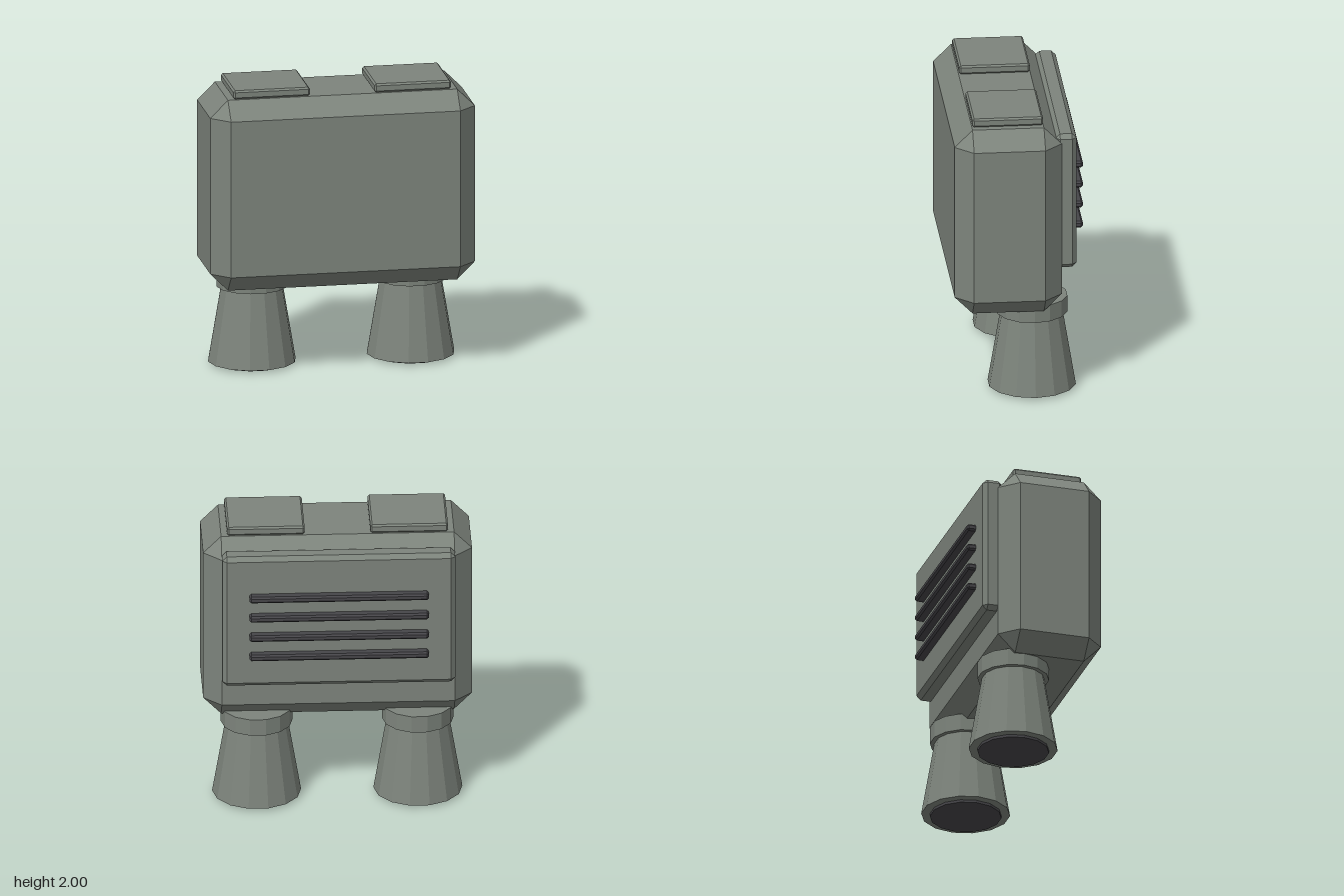
import * as THREE from 'three';
import { ConvexGeometry } from 'three/addons/geometries/ConvexGeometry.js';

// Box with flat chamfered edges and triangular corners
function chamferBox(w, h, d, c) {
  const half = [w / 2, h / 2, d / 2];
  const points = [];
  for (const sx of [-1, 1]) for (const sy of [-1, 1]) for (const sz of [-1, 1]) {
    for (let axis = 0; axis < 3; axis++) {
      const p = half.map((v, i) => (i === axis ? v : v - c));
      points.push(new THREE.Vector3(sx * p[0], sy * p[1], sz * p[2]));
    }
  }
  return new ConvexGeometry(points);
}

export function createModel() {
  const model = new THREE.Group();
  model.name = 'twinNozzlePack';

  const casing = new THREE.MeshStandardMaterial({ name: 'greyGreenCasing', color: 0x7d847c, flatShading: true });
  const dark = new THREE.MeshStandardMaterial({ name: 'darkGrey', color: 0x464549, flatShading: true });

  function add(parent, name, geometry, material, x, y, z) {
    const mesh = new THREE.Mesh(geometry, material);
    mesh.name = name;
    mesh.position.set(x, y, z);
    parent.add(mesh);
  }

  // Main casing and the raised panel on its back
  add(model, 'body', chamferBox(1.8, 1.32, 0.72, 0.12), casing, 0, 1.28, 0.08);
  add(model, 'backPanel', chamferBox(1.56, 0.96, 0.14, 0.03), casing, 0, 1.4, -0.31);

  // Vent bars across the back panel
  for (let i = 0; i < 4; i++) {
    add(model, 'ventBar', chamferBox(1.2, 0.046, 0.1, 0.012), dark, 0, 1.159 + i * 0.144, -0.389);
  }

  // Fourteen-sided ring, cone or disc with corners on the x axis
  const round = (top, bottom, height) => new THREE.CylinderGeometry(top, bottom, height, 14, 1, false, Math.PI / 2);

  for (const side of [-1, 1]) {
    // Square lid pad on top
    add(model, side > 0 ? 'leftPad' : 'rightPad', chamferBox(0.52, 0.06, 0.475, 0.012), casing, side * 0.48, 1.97, 0.079);

    // Flared nozzle with collar and dark opening
    const nozzle = new THREE.Group();
    nozzle.name = side > 0 ? 'leftNozzle' : 'rightNozzle';
    nozzle.position.set(side * 0.54, 0, -0.1);
    add(nozzle, 'collar', round(0.24, 0.24, 0.117), casing, 0, 0.5935, 0);
    add(nozzle, 'cone', round(0.203, 0.298, 0.56), casing, 0, 0.298, 0);
    add(nozzle, 'opening', round(0.24, 0.24, 0.03), dark, 0, 0.015, 0);
    model.add(nozzle);
  }
  return model;
}
